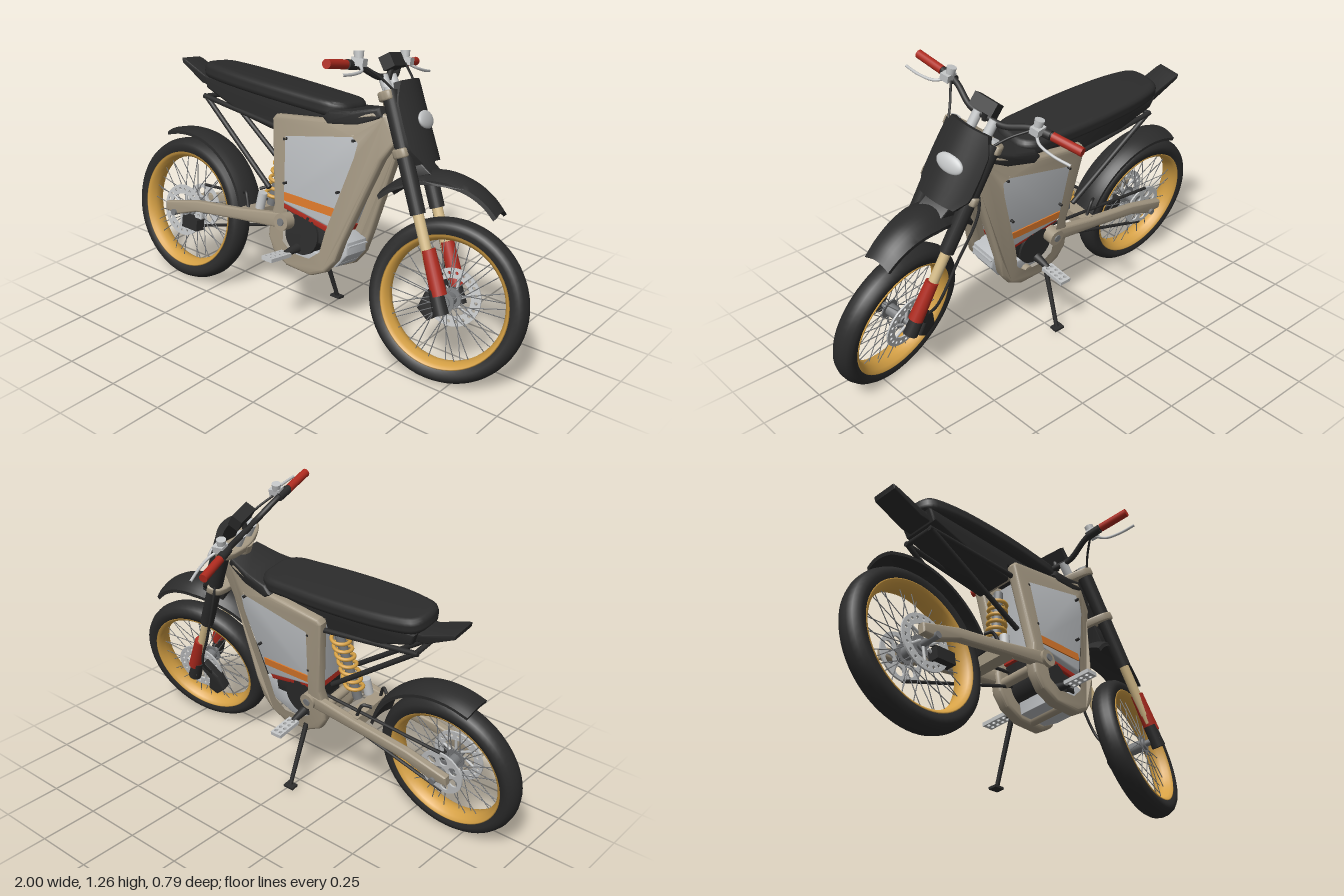
import * as THREE from 'three';
import { toCreasedNormals } from 'three/addons/utils/BufferGeometryUtils.js';

const paint = (name, color, side = THREE.FrontSide) => {
  const m = new THREE.MeshStandardMaterial({ color, side });
  m.name = name;
  return m;
};
const black = paint('black', 0x2b2b2b), beige = paint('beige', 0xa29681), gold = paint('gold', 0xd6a145);
const silver = paint('silver', 0xc2c4c5), grey = paint('grey', 0x77797b), red = paint('red', 0xae2a1e);
const orange = paint('orange', 0xd9772a), pale = paint('pale gold', 0xd6bd8a), box = paint('light grey', 0xb9bcbf);
const V = (p) => new THREE.Vector3(...p);

function add(parent, name, geo, mat, pos = [0, 0, 0]) {
  const m = new THREE.Mesh(geo, mat);
  m.name = name;
  m.position.set(...pos);
  parent.add(m);
  return m;
}
// straight round bar between two points
function rod(parent, name, mat, a, b, r, r2 = r, seg = 16) {
  const d = V(b).sub(V(a));
  const m = add(parent, name, new THREE.CylinderGeometry(r2, r, d.length(), seg), mat);
  m.position.copy(V(a)).addScaledVector(d, 0.5);
  m.quaternion.setFromUnitVectors(new THREE.Vector3(0, 1, 0), d.normalize());
  return m;
}
// bent round tube through points
function pipe(parent, name, mat, pts, r, seg = 32) {
  return add(parent, name, new THREE.TubeGeometry(new THREE.CatmullRomCurve3(pts.map(V)), seg, r, 10), mat);
}
// side outline extruded across z, optionally reshaped by a rule
function slab(outline, width, bevel = 0.01, holes = [], rule = null, steps = 1) {
  const shape = outline instanceof THREE.Shape ? outline : new THREE.Shape(outline.map((p) => new THREE.Vector2(...p)));
  shape.holes.push(...holes);
  const g = new THREE.ExtrudeGeometry(shape, { depth: width - 2 * bevel, steps, curveSegments: 20, bevelEnabled: bevel > 0,
    bevelSize: bevel, bevelThickness: bevel, bevelOffset: -bevel, bevelSegments: 3 });
  g.translate(0, 0, bevel - width / 2);
  if (rule) {
    const p = g.attributes.position, v = new THREE.Vector3();
    for (let i = 0; i < p.count; i++) { rule(v.fromBufferAttribute(p, i)); p.setXYZ(i, v.x, v.y, v.z); }
  }
  return toCreasedNormals(g, 0.6);
}
const circle = (x, y, r) => new THREE.Path().absarc(x, y, r, 0, Math.PI * 2, true);
const smoothLoop = (pts, n = 60) => new THREE.CatmullRomCurve3(pts.map(([x, y]) => new THREE.Vector3(x, y, 0)), true, 'centripetal')
  .getPoints(n).slice(0, n).map((p) => [p.x, p.y]);
// thin curved band following a path in the side view
function band(path, t, width, rule) {
  const c = new THREE.SplineCurve(path.map((p) => new THREE.Vector2(...p)));
  const top = c.getPoints(28), low = top.map((p, i) => {
    const d = c.getTangent(i / 28);
    return new THREE.Vector2(p.x + d.y * t, p.y - d.x * t);
  });
  return slab([...top, ...low.reverse()].map((p) => [p.x, p.y]), width, 0, [], rule, 8);
}
// perforated ring with outer radius R
function perforated(R, inner, n, hr, hd) {
  const s = new THREE.Shape().absarc(0, 0, R, 0, Math.PI * 2);
  const holes = [circle(0, 0, inner)];
  for (let i = 0; i < n; i++) holes.push(circle(hd * Math.cos(i / n * 6.2832), hd * Math.sin(i / n * 6.2832), hr));
  return slab(s, 0.007, 0, holes);
}

function wheel(name) {
  const g = new THREE.Group();
  g.name = name;
  const lathe = (pts) => new THREE.LatheGeometry(pts.map((p) => new THREE.Vector2(...p)), 64).rotateX(Math.PI / 2);
  add(g, 'tyre', lathe([[0.25, -0.036], [0.262, -0.043], [0.28, -0.05], [0.298, -0.048], [0.312, -0.034], [0.32, -0.012],
    [0.32, 0.012], [0.312, 0.034], [0.298, 0.048], [0.28, 0.05], [0.262, 0.043], [0.25, 0.036]]), black);
  add(g, 'rim', lathe([[0.25, 0.036], [0.261, 0.046], [0.256, 0.047], [0.244, 0.036], [0.236, 0.015], [0.234, 0],
    [0.236, -0.015], [0.244, -0.036], [0.256, -0.047], [0.261, -0.046], [0.25, -0.036]]), gold);
  rod(g, 'hub', grey, [0, 0, -0.05], [0, 0, 0.05], 0.026, 0.026, 24);
  for (const s of [-1, 1]) {
    rod(g, 'hubFlange', grey, [0, 0, s * 0.035], [0, 0, s * 0.041], 0.042, 0.042, 24);
    for (let i = 0; i < 18; i++) {
      const a = (i + s * 0.25) * Math.PI / 9, b = a + (i % 2 ? 0.4 : -0.4);
      rod(g, 'spoke', grey, [0.038 * Math.cos(a), 0.038 * Math.sin(a), s * 0.038], [0.24 * Math.cos(b), 0.24 * Math.sin(b), s * 0.008], 0.002, 0.002, 5);
    }
  }
  return g;
}
function brakeDisc(parent, z) {
  add(parent, 'brakeDisc', perforated(0.115, 0.075, 20, 0.007, 0.096), silver, [0, 0, z]);
  for (let i = 0; i < 6; i++) {
    const a = i * Math.PI / 3;
    rod(parent, 'discArm', silver, [0.025 * Math.cos(a), 0.025 * Math.sin(a), z], [0.08 * Math.cos(a + 0.4), 0.08 * Math.sin(a + 0.4), z], 0.006, 0.006, 8);
  }
}

function buildRear(bike) {
  const w = wheel('rearWheel');
  w.position.set(-0.68, 0.33, 0);
  brakeDisc(w, 0.062);
  add(w, 'sprocket', perforated(0.1, 0.03, 7, 0.02, 0.064), silver, [0, 0, -0.062]);
  rod(w, 'axle', grey, [0, 0, -0.13], [0, 0, 0.13], 0.014);
  bike.add(w);
  add(bike, 'rearCaliper', new THREE.BoxGeometry(0.09, 0.05, 0.045), black, [-0.61, 0.29, 0.07]);
  for (const s of [-1, 1]) {
    add(bike, 'swingarm', slab([[-0.74, 0.325], [-0.74, 0.365], [-0.55, 0.415], [-0.3, 0.45], [-0.06, 0.495], [-0.03, 0.47],
      [-0.05, 0.43], [-0.3, 0.4], [-0.55, 0.365], [-0.66, 0.325]], 0.034, 0.008), beige, [0, 0, s * 0.103]);
    rod(bike, 'swingarmPivot', beige, [-0.055, 0.46, s * 0.08], [-0.055, 0.46, s * 0.132], 0.036, 0.036, 28);
    rod(bike, 'pivotBolt', grey, [-0.055, 0.46, s * 0.13], [-0.055, 0.46, s * 0.137], 0.016);
    // struts and rails under the seat
    rod(bike, 'subframeStrut', black, [-0.59, 0.87, s * 0.065], [-0.17, 0.57, s * 0.085], 0.011);
    rod(bike, 'subframeRail', black, [-0.6, 0.87, s * 0.065], [-0.14, 0.83, s * 0.085], 0.011);
    rod(bike, 'chainRun', black, [-0.68, 0.33 + s * 0.098, -0.062], [-0.05, 0.45 + s * 0.03, -0.062], 0.007, 0.007, 8);
  }
  rod(bike, 'subframeCross', black, [-0.59, 0.87, -0.07], [-0.59, 0.87, 0.07], 0.011);
  add(bike, 'swingarmBridge', new THREE.BoxGeometry(0.06, 0.05, 0.2), beige, [-0.27, 0.43, 0]);
  // fender hugging the wheel
  const arc = [];
  for (let i = 0; i <= 8; i++) {
    const a = (112 - i * 12) * Math.PI / 180;
    arc.push([-0.68 + 0.372 * Math.cos(a), 0.33 + 0.372 * Math.sin(a)]);
  }
  add(bike, 'rearFender', band(arc, 0.014, 0.13, (v) => {
    const k = 3.5 * v.z * v.z;
    v.x -= k * (v.x + 0.68) / 0.37; v.y -= k * (v.y - 0.33) / 0.37;
  }), black);
  for (const s of [-1, 1]) pipe(bike, 'fenderStay', black, [[-0.34, 0.5, s * 0.05], [-0.31, 0.51, s * 0.07], [-0.28, 0.45, s * 0.08]], 0.007);
  // shock absorber
  const a = V([-0.225, 0.47, 0]), b = V([-0.15, 0.79, 0]), coil = [];
  rod(bike, 'shockBody', grey, a.toArray(), b.toArray(), 0.02);
  for (let i = 0; i <= 90; i++) {
    const t = 0.12 + 0.76 * i / 90, p = a.clone().lerp(b, t), q = i / 90 * Math.PI * 14;
    coil.push([p.x + 0.036 * Math.cos(q), p.y, 0.036 * Math.sin(q)]);
  }
  pipe(bike, 'shockSpring', gold, coil, 0.008, 200);
  rod(bike, 'shockReservoir', silver, [-0.235, 0.46, 0.06], [-0.225, 0.53, 0.06], 0.02);
}

function buildBody(bike) {
  // twin side loops that draw together at the steering head
  const outer = [[-0.165, 0.87], [-0.15, 0.89], [0.1, 0.925], [0.31, 0.995], [0.36, 0.99], [0.41, 0.9], [0.36, 0.81], [0.25, 0.46],
    [0.225, 0.37], [0.18, 0.31], [0.11, 0.275], [-0.02, 0.28], [-0.095, 0.32], [-0.13, 0.38], [-0.13, 0.46], [-0.115, 0.52]];
  const inner = [[-0.1, 0.825], [0.25, 0.9], [0.285, 0.87], [0.275, 0.8], [0.18, 0.48], [0.16, 0.38], [0.1, 0.33],
    [0, 0.33], [-0.06, 0.37], [-0.07, 0.5]];
  for (const s of [-1, 1]) {
    add(bike, 'sideFrame', slab(outer, 0.05, 0.014, [new THREE.Path(inner.map((p) => new THREE.Vector2(...p)))], (v) => {
      const t = THREE.MathUtils.clamp((v.x - 0.25) / 0.14, 0, 1) * THREE.MathUtils.clamp((v.y - 0.5) / 0.3, 0, 1);
      v.z += s * (0.092 - 0.057 * t);
    }), beige);
    add(bike, 'batteryStripe', new THREE.BoxGeometry(0.272, 0.034, 0.006), orange, [0.055, 0.562, s * 0.104]);
    for (const [x, y] of [[-0.09, 0.8], [0.25, 0.87], [0.2, 0.65], [-0.07, 0.62]])
      rod(bike, 'frameBolt', black, [x, y, s * 0.1], [x, y, s * 0.118], 0.006, 0.006, 8);
    // foot pegs
    const peg = [];
    for (let i = 0; i < 4; i++) for (const x of [-0.012, 0.012]) peg.push(circle(x, -0.04 + i * 0.027, 0.008));
    const p = add(bike, 'footPeg', slab([[-0.027, -0.06], [0.027, -0.06], [0.027, 0.06], [-0.027, 0.06]], 0.016, 0, peg), silver, [0.01, 0.35, s * 0.215]);
    p.rotation.x = Math.PI / 2;
    rod(bike, 'pegMount', black, [0.01, 0.36, s * 0.09], [0.01, 0.35, s * 0.165], 0.02, 0.012);
  }
  for (const [x, y] of [[-0.135, 0.86], [-0.1, 0.42], [0.05, 0.3]]) rod(bike, 'frameCross', beige, [x, y, -0.09], [x, y, 0.09], 0.022);
  rod(bike, 'headTube', beige, [0.413, 0.855, 0], [0.322, 1.06, 0], 0.042, 0.04, 28);
  add(bike, 'battery', slab([[-0.115, 0.83], [0.26, 0.915], [0.29, 0.87], [0.285, 0.8], [0.19, 0.49], [-0.09, 0.53]], 0.204, 0.012), box);
  // motor and its casing
  add(bike, 'motorTrim', slab([[-0.09, 0.53], [0.19, 0.485], [0.18, 0.46], [-0.09, 0.505]], 0.17, 0.004), red);
  rod(bike, 'motor', black, [0.02, 0.42, -0.085], [0.02, 0.42, 0.085], 0.085, 0.085, 36);
  add(bike, 'motorHousing', slab([[-0.08, 0.5], [0.17, 0.47], [0.17, 0.4], [-0.06, 0.4]], 0.15, 0.01), black);
  add(bike, 'skidCase', slab([[-0.03, 0.3], [0.11, 0.29], [0.2, 0.33], [0.245, 0.39], [0.24, 0.44], [0.18, 0.46], [0.1, 0.36], [-0.03, 0.36]], 0.13, 0.006), box);
  for (let i = 0; i < 4; i++) add(bike, 'coolingFin', new THREE.BoxGeometry(0.03, 0.006, 0.12), box, [0.235 - 0.012 * i, 0.425 - 0.025 * i, 0]);
  // seat, laid flat from its plan outline
  const plan = smoothLoop([[-0.62, 0], [-0.6, 0.075], [-0.5, 0.108], [-0.25, 0.125], [0, 0.118], [0.12, 0.105], [0.165, 0.06],
    [0.17, 0], [0.165, -0.06], [0.12, -0.105], [0, -0.118], [-0.25, -0.125], [-0.5, -0.108], [-0.6, -0.075]]);
  const seat = add(bike, 'seat', slab(plan, 0.066, 0.024).rotateX(-Math.PI / 2), black, [0, 0.968, 0]);
  seat.rotation.z = -0.035;
  add(bike, 'seatBase', slab([[-0.6, 0.96], [0.1, 0.95], [0.1, 0.92], [-0.16, 0.88], [-0.17, 0.81], [-0.35, 0.835], [-0.58, 0.91]], 0.16, 0.01), black);
  add(bike, 'tail', slab([[-0.765, 1.005], [-0.74, 1.0], [-0.62, 0.955], [-0.5, 0.95], [-0.5, 0.91], [-0.63, 0.92], [-0.76, 0.985]], 0.11, 0.004), black);
  add(bike, 'frontCowl', slab([[0.09, 0.93], [0.12, 0.965], [0.22, 0.98], [0.33, 1.015], [0.35, 0.98], [0.31, 0.955], [0.25, 0.925], [0.12, 0.905]], 0.24, 0.014, [],
    (v) => { v.z *= 1 - 1.6 * Math.max(0, v.x - 0.15); }), black);
  // side stand
  rod(bike, 'sideStand', black, [-0.02, 0.32, -0.115], [-0.008, 0.065, -0.247], 0.011, 0.009);
  add(bike, 'standFoot', new THREE.BoxGeometry(0.05, 0.01, 0.035), black, [-0.01, 0.06, -0.25]);
}

function buildFront(bike) {
  // everything that turns about the raked steering axis
  const steer = new THREE.Group(), front = new THREE.Group(), rake = 0.42;
  steer.name = 'steering';
  front.name = 'frontEnd';
  steer.position.set(0.4, 0.88, 0);
  steer.quaternion.setFromAxisAngle(V([-Math.sin(rake), Math.cos(rake), 0]), 0.21);
  front.position.set(-0.4, -0.88, 0);
  steer.add(front);
  bike.add(steer);
  // point on the fork line at height y
  const F = (y, z, off = 0) => [0.69 - (y - 0.33) * 0.446 + off, y, z];

  const w = wheel('frontWheel');
  w.position.set(0.685, 0.33, 0);
  brakeDisc(w, -0.06);
  rod(w, 'axle', grey, [0, 0, -0.12], [0, 0, 0.12], 0.014);
  front.add(w);
  add(front, 'frontCaliper', slab([[0.55, 0.25], [0.6, 0.21], [0.64, 0.24], [0.62, 0.3], [0.66, 0.36], [0.63, 0.39], [0.57, 0.32]], 0.05, 0.008), black, [0, 0, -0.075]);
  for (const s of [-1, 1]) {
    const z = s * 0.097;
    rod(front, 'forkUpper', black, F(0.65, z), F(1.08, z), 0.03, 0.033, 24);
    rod(front, 'stanchion', pale, F(0.36, z), F(0.67, z), 0.021, 0.021, 20);
    rod(front, 'forkGuard', red, F(0.37, z, 0.01), F(0.53, z, 0.01), 0.031, 0.027, 20);
    rod(front, 'forkFoot', black, F(0.3, z), F(0.39, z), 0.03, 0.027, 20);
    rod(front, 'forkCap', silver, F(1.08, z), F(1.095, z), 0.02);
    // grips, levers and switch gear
    rod(front, 'grip', red, [0.242, 1.162, s * 0.272], [0.233, 1.164, s * 0.405], 0.018, 0.018, 18);
    rod(front, 'leverPerch', black, [0.25, 1.16, s * 0.2], [0.243, 1.162, s * 0.265], 0.019);
    add(front, 'masterCylinder', new THREE.BoxGeometry(0.05, 0.03, 0.04), silver, [0.27, 1.175, s * 0.22]);
    rod(front, 'fluidCup', silver, [0.265, 1.185, s * 0.215], [0.26, 1.215, s * 0.215], 0.017, 0.02);
    pipe(front, 'lever', silver, [[0.275, 1.165, s * 0.22], [0.305, 1.15, s * 0.26], [0.31, 1.14, s * 0.33], [0.3, 1.135, s * 0.405]], 0.006);
    pipe(front, 'cable', black, [[0.275, 1.165, s * 0.2], [0.34, 1.12, s * 0.14], [0.4, 1.05, s * 0.09], [0.42, 0.94, s * 0.06]], 0.005);
    rod(front, 'barClamp', silver, [0.325, 1.07, s * 0.04], [0.292, 1.125, s * 0.04], 0.02);
  }
  pipe(front, 'brakeHose', black, [[0.43, 0.95, -0.09], [0.44, 0.83, -0.14], [0.53, 0.6, -0.14], [0.6, 0.43, -0.135], [0.6, 0.33, -0.09]], 0.006);
  pipe(front, 'handlebar', black, [[0.233, 1.164, -0.4], [0.252, 1.16, -0.2], [0.29, 1.122, -0.08], [0.292, 1.12, 0],
    [0.29, 1.122, 0.08], [0.252, 1.16, 0.2], [0.233, 1.164, 0.4]], 0.013, 48);
  const dash = add(front, 'dashboard', new THREE.BoxGeometry(0.05, 0.055, 0.11), black, [0.305, 1.18, 0]);
  dash.rotation.z = 0.6;
  rod(front, 'dashMount', black, [0.3, 1.11, 0], [0.305, 1.17, 0], 0.012);
  // fork clamps
  for (const [name, x, y] of [['lowerClamp', 0.43, 0.855], ['upperClamp', 0.335, 1.055]]) {
    const c = add(front, name, slab(smoothLoop([[-0.04, 0.03], [-0.04, -0.03], [-0.01, -0.12], [0.04, -0.135], [0.05, -0.09],
      [0.03, 0], [0.05, 0.09], [0.04, 0.135], [-0.01, 0.12]]), 0.036, 0.006).rotateX(-Math.PI / 2), beige, [x, y, 0]);
    c.rotation.z = rake;
  }
  // number plate with its lamp
  const plate = new THREE.Group();
  plate.name = 'headlightPanel';
  plate.position.set(0.468, 0.985, 0);
  plate.rotation.z = rake + 0.03;
  const g = new THREE.BoxGeometry(0.235, 0.32, 0.03, 10, 12, 1), p = g.attributes.position;
  for (let i = 0; i < p.count; i++) {
    const y = p.getY(i), x = p.getX(i) * (1.03 - 5 * Math.max(0, -0.1 - y) - 3.2 * Math.max(0, y - 0.09) - 0.3 * Math.max(0, y));
    p.setXYZ(i, x, y, p.getZ(i) - 3.2 * x * x);
  }
  add(plate, 'panel', toCreasedNormals(g.rotateY(Math.PI / 2), 0.6), black);
  add(plate, 'headlamp', new THREE.SphereGeometry(1, 32, 16).scale(0.016, 0.037, 0.063), silver, [0.011, 0, 0]);
  front.add(plate);
  // high front fender
  add(front, 'frontFender', band([[0.36, 0.7], [0.42, 0.755], [0.5, 0.8], [0.6, 0.82], [0.7, 0.805], [0.78, 0.765], [0.835, 0.715]], 0.016, 0.17, (v) => {
    v.z *= 1 - 1.3 * Math.max(0, v.x - 0.6) - 1.2 * Math.max(0, 0.5 - v.x);
    v.y -= 5 * v.z * v.z;
  }), black);
  add(front, 'fenderMount', slab([[0.42, 0.84], [0.5, 0.84], [0.56, 0.8], [0.46, 0.76]], 0.12, 0.006), black);
}

export function createModel() {
  const model = new THREE.Group(), bike = new THREE.Group();
  model.name = 'motorcycle';
  bike.name = 'leaningBike';
  // resting on its side stand
  bike.position.z = 0.185;
  bike.rotation.x = -0.16;
  model.add(bike);
  buildRear(bike);
  buildBody(bike);
  buildFront(bike);
  return model;
}
